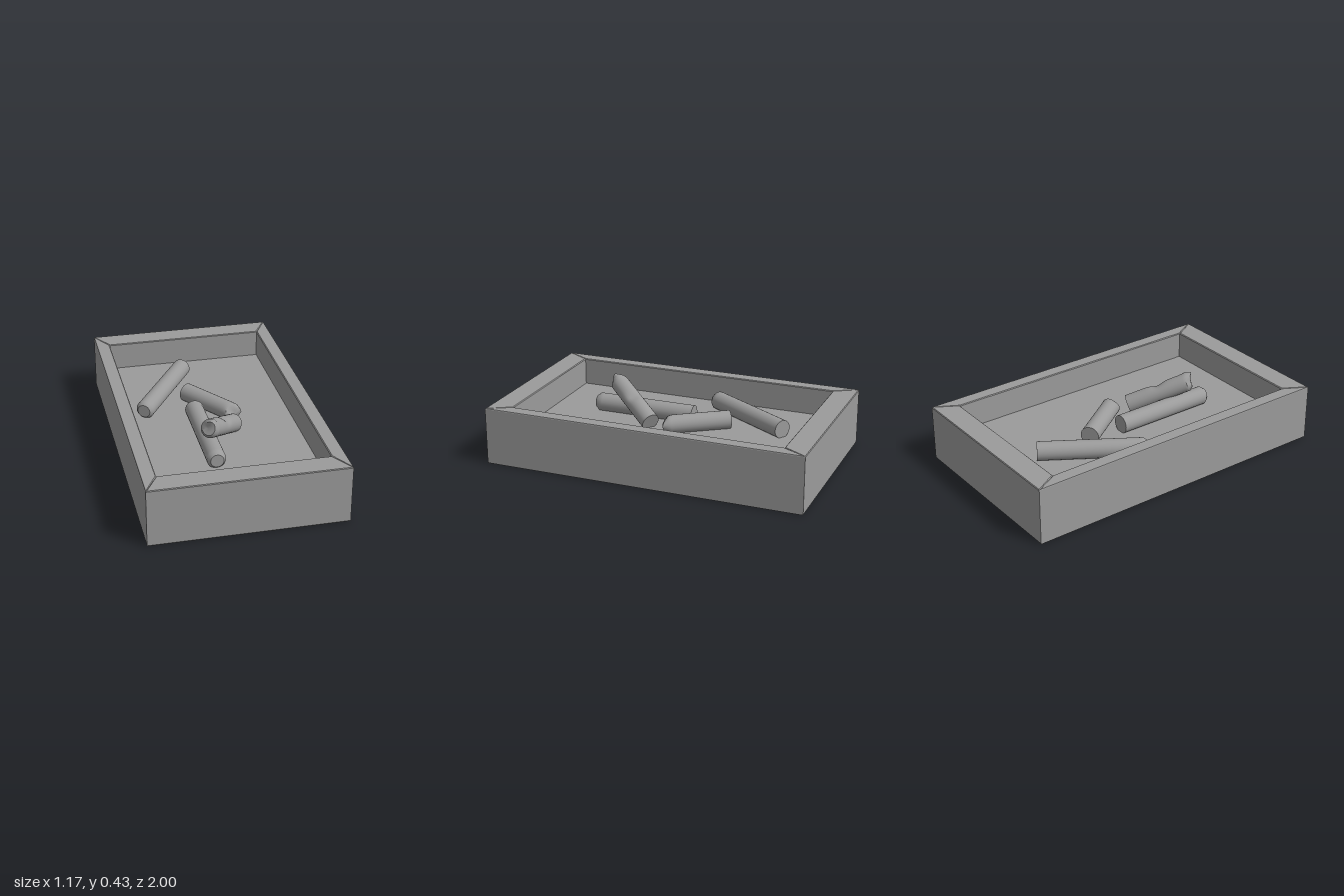
import * as THREE from 'three';
import { toCreasedNormals } from 'three/addons/utils/BufferGeometryUtils.js';

const material = new THREE.MeshStandardMaterial({ color: 0x9b9b9b });
const W = 0.585, L = 1, H = 0.355;      // outer half width, half length, height
const IW = 0.501, IL = 0.854;           // inner half width, half length
const FLOOR = 0.182, R = 0.057;         // floor level, log radius

function addMesh(group, name, geometry) {
  const mesh = new THREE.Mesh(geometry, material);
  mesh.name = name;
  group.add(mesh);
  return mesh;
}

// Mitred board with finely bevelled edges, given as a plan outline of [x, z]
function board(points) {
  const b = 0.005;
  const shape = new THREE.Shape(points.map(([x, z]) => new THREE.Vector2(x, -z)));
  const geo = new THREE.ExtrudeGeometry(shape, {
    depth: H - 2 * b, bevelEnabled: true, bevelSize: b, bevelThickness: b, bevelOffset: -b, bevelSegments: 1,
  });
  return geo.rotateX(-Math.PI / 2).translate(0, b, 0);
}

// Round log from a flat-cut end to a chamfered end; dents push nearby vertices: { at, push, size }
function log(from, to, dents = []) {
  const a = new THREE.Vector3(...from), b = new THREE.Vector3(...to);
  const length = a.distanceTo(b), chamfer = 0.022, rows = 24;
  const profile = [new THREE.Vector2(0, 0), new THREE.Vector2(R * 0.6, 0)];
  for (let i = 0; i <= rows; i++) profile.push(new THREE.Vector2(R, (length - chamfer) * i / rows));
  profile.push(new THREE.Vector2(R * 0.7, length), new THREE.Vector2(R * 0.35, length), new THREE.Vector2(0, length));
  const geo = new THREE.LatheGeometry(profile, 24);
  const dir = b.clone().sub(a).normalize();
  geo.applyQuaternion(new THREE.Quaternion().setFromUnitVectors(new THREE.Vector3(0, 1, 0), dir));
  geo.translate(a.x, a.y, a.z);

  const pos = geo.attributes.position, v = new THREE.Vector3();
  for (let i = 0; i < pos.count; i++) {
    v.fromBufferAttribute(pos, i);
    for (const { at, push, size } of dents) {
      const d = v.distanceTo(new THREE.Vector3(...at)) / size;
      v.addScaledVector(new THREE.Vector3(...push), Math.exp(-d * d));
    }
    pos.setXYZ(i, v.x, v.y, v.z);
  }
  // Enlarged while creasing so close vertices stay distinct
  geo.scale(100, 100, 100);
  return toCreasedNormals(geo, 0.8).scale(0.01, 0.01, 0.01);
}

export function createModel() {
  const model = new THREE.Group();
  model.name = 'logTray';

  // Floor slab, reaching under the walls to close the underside
  addMesh(model, 'floor', new THREE.BoxGeometry(2 * W - 0.01, FLOOR, 2 * L - 0.01)).position.y = FLOOR / 2;

  // Four mitred walls
  const walls = new THREE.Group();
  walls.name = 'walls';
  model.add(walls);
  const endWall = board([[-W, L], [W, L], [IW, IL], [-IW, IL]]);
  const sideWall = board([[W, L], [W, -L], [IW, -IL], [IW, IL]]);
  addMesh(walls, 'frontWall', endWall);
  addMesh(walls, 'backWall', endWall).rotation.y = Math.PI;
  addMesh(walls, 'leftWall', sideWall);
  addMesh(walls, 'rightWall', sideWall).rotation.y = Math.PI;

  // Logs lying on the floor, with one leaning across another
  const logs = new THREE.Group();
  logs.name = 'logs';
  model.add(logs);
  const y = FLOOR + R - 0.006;
  addMesh(logs, 'longLog', log([-0.055, y, -0.67], [-0.402, y, -0.12]));
  addMesh(logs, 'straightLog', log([-0.092, y, -0.085], [-0.092, y, 0.569]));
  addMesh(logs, 'shortLog', log([-0.095, y, -0.318], [0.14, y, 0.022], [
    { at: [0.125, y + 0.04, 0.04], push: [-0.008, -0.018, -0.012], size: 0.035 },
    { at: [0.175, y, 0.005], push: [0.014, 0.004, 0.012], size: 0.03 },
  ]));
  addMesh(logs, 'leaningLog', log([0.106, 0.222, 0.124], [-0.115, 0.378, 0.438], [
    { at: [0.015, 0.345, 0.28], push: [-0.003, -0.018, -0.003], size: 0.04 },
    { at: [-0.105, 0.425, 0.425], push: [0.004, 0.014, 0.03], size: 0.035 },
    { at: [-0.15, 0.4, 0.425], push: [0.008, -0.006, -0.004], size: 0.025 },
  ]));
  return model;
}
